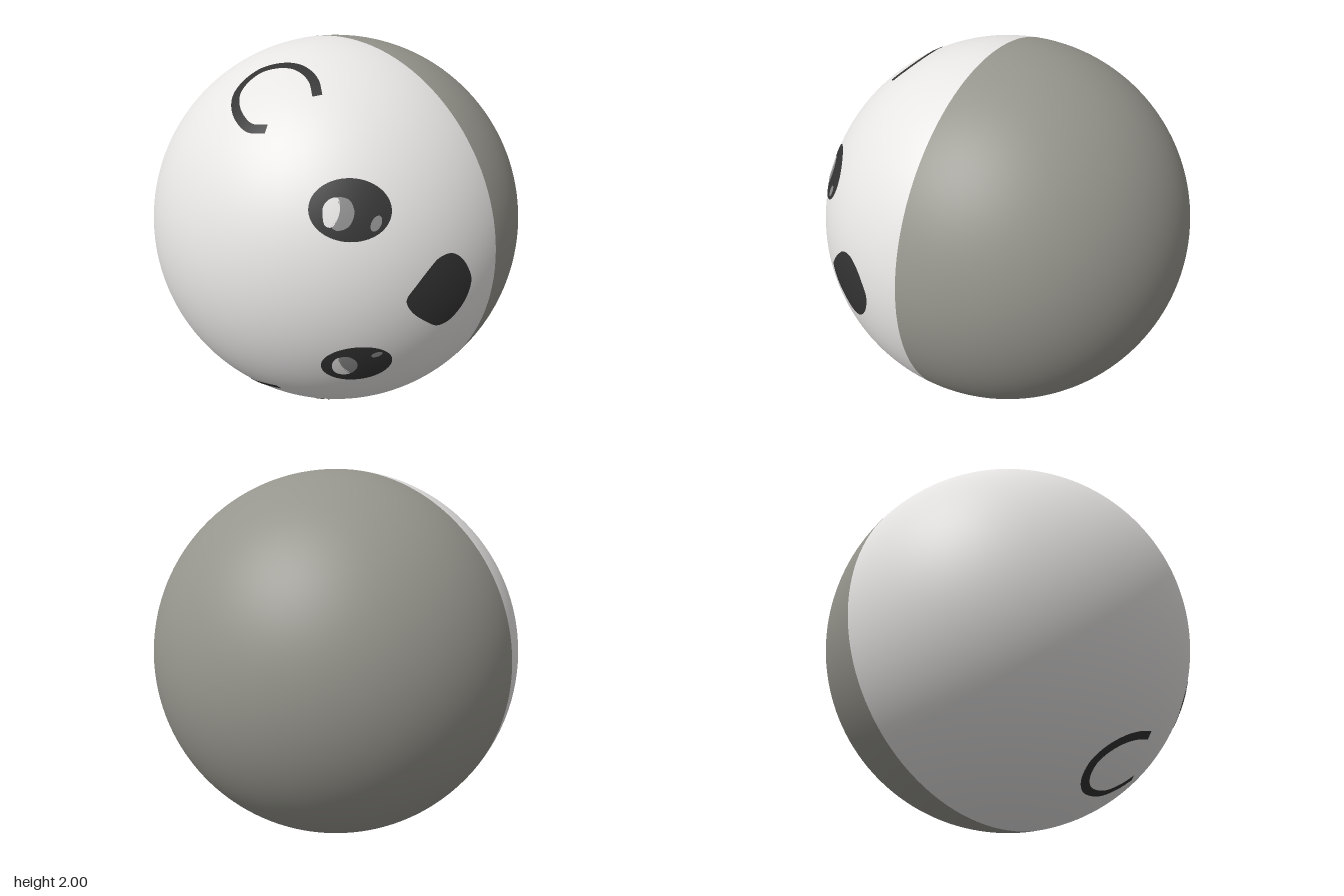
import * as THREE from 'three';

const mat = (name, color) => {
  const m = new THREE.MeshStandardMaterial({ color, side: THREE.DoubleSide });
  m.name = name;
  return m;
};

// Maps flat (a, b) coordinates, seen from a given direction in degrees, onto the unit ball
function facing(azimuth, elevation) {
  const A = THREE.MathUtils.degToRad(azimuth), E = THREE.MathUtils.degToRad(elevation);
  const u = new THREE.Vector3(Math.cos(A), 0, -Math.sin(A));
  const n = new THREE.Vector3(Math.sin(A) * Math.cos(E), Math.sin(E), Math.cos(A) * Math.cos(E));
  const v = n.clone().cross(u);
  return (a, b) => new THREE.Vector3()
    .addScaledVector(u, a).addScaledVector(v, b)
    .addScaledVector(n, Math.sqrt(Math.max(0, 1 - a * a - b * b)));
}

function buildGeometry(points, index) {
  const g = new THREE.BufferGeometry();
  g.setAttribute('position', new THREE.Float32BufferAttribute(points.flatMap(p => p.toArray()), 3));
  // The ball's own normals keep the markings smoothly shaded
  g.setAttribute('normal', new THREE.Float32BufferAttribute(
    points.flatMap(p => p.clone().normalize().toArray()), 3));
  g.setIndex(index);
  return g;
}

// Smooth closed outline through a few points, counter-clockwise
function outline(pts) {
  const curve = new THREE.CatmullRomCurve3(pts.map(([a, b]) => new THREE.Vector3(a, b, 0)), true);
  const out = curve.getPoints(64).slice(0, 64);
  return THREE.ShapeUtils.area(out) < 0 ? out.reverse() : out;
}

function ellipse(cx, cy, rx, ry, tilt = 0) {
  return new THREE.EllipseCurve(cx, cy, rx, ry, 0, Math.PI * 2, false, tilt).getPoints(64).slice(0, 64);
}

// Curved patch filling an outline, made of shrinking rings
function patch(place, loop, radius, rings = 6) {
  const n = loop.length, pts = [], index = [];
  const c = loop.reduce((s, p) => [s[0] + p.x / n, s[1] + p.y / n], [0, 0]);
  for (let r = 0; r <= rings; r++) {
    for (const p of loop) {
      const t = r / rings;
      pts.push(place(c[0] + (p.x - c[0]) * t, c[1] + (p.y - c[1]) * t).multiplyScalar(radius));
    }
  }
  for (let r = 0; r < rings; r++) {
    for (let i = 0; i < n; i++) {
      const j = (i + 1) % n, a = r * n + i, b = r * n + j;
      index.push(a, a + n, b + n);
      if (r > 0) index.push(a, b + n, b);
    }
  }
  return buildGeometry(pts, index);
}

// Constant-width painted line that follows the ball
function stroke(place, path, width, radius) {
  const curve = new THREE.CatmullRomCurve3(path.map(([a, b]) => place(a, b)));
  const steps = 80, pts = [], index = [];
  for (let i = 0; i <= steps; i++) {
    const p = curve.getPoint(i / steps).normalize();
    const side = curve.getTangent(i / steps).cross(p).normalize();
    for (const k of [-1, 0, 1]) {
      pts.push(p.clone().addScaledVector(side, k * width / 2).normalize().multiplyScalar(radius));
    }
    if (i < steps) {
      for (const k of [0, 1]) {
        const a = i * 3 + k;
        index.push(a, a + 1, a + 4, a, a + 4, a + 3);
      }
    }
  }
  return buildGeometry(pts, index);
}

export function createModel() {
  const white = mat('white', 0xefedec);
  const backGrey = mat('warm grey', 0x96958d);
  const dark = mat('charcoal', 0x333333);
  const shine = mat('shine grey', 0x8a8a8a);
  const group = new THREE.Group();
  const add = (name, geometry, material) => {
    const mesh = new THREE.Mesh(geometry, material);
    mesh.name = name;
    mesh.position.y = 1;
    group.add(mesh);
  };

  // Two half shells meeting on a slightly turned upright plane
  const half = dir => new THREE.SphereGeometry(1, 128, 48, 0, Math.PI * 2, 0, Math.PI / 2)
    .rotateX(dir * Math.PI / 2).rotateY(-0.1);
  add('frontHalf', half(1), white);
  add('backHalf', half(-1), backGrey);

  const PAINT = 1.002, TOP = 1.004;

  // Nose
  add('nose', patch(facing(90, 0), outline([
    [-0.605, 0], [-0.57, 0.06], [-0.51, 0.13], [-0.46, 0.17], [-0.4, 0.176], [-0.35, 0.14], [-0.31, 0.075],
    [-0.29, 0.015], [-0.305, -0.06], [-0.34, -0.12], [-0.395, -0.17], [-0.45, -0.176], [-0.51, -0.135],
    [-0.58, -0.065]]), PAINT), dark);

  // Eyes, each with a two-tone large highlight and a small one
  const eyes = [
    {
      name: 'upperEye', at: facing(38.7, 24), shape: ellipse(0, 0, 0.176, 0.134, -0.06),
      bright: [[-0.117, -0.02], [-0.112, 0.02], [-0.085, 0.048], [-0.053, 0.053], [-0.043, 0.02],
        [-0.053, -0.032], [-0.08, -0.07], [-0.107, -0.064]],
      soft: [[-0.053, 0.053], [-0.005, 0.043], [0.016, -0.01], [-0.01, -0.07], [-0.058, -0.085],
        [-0.08, -0.07], [-0.053, -0.032], [-0.043, 0.02]],
      spot: ellipse(0.107, -0.059, 0.021, 0.036, -0.5),
    },
    {
      name: 'lowerEye', at: facing(40.8, -20.5), shape: ellipse(0, 0, 0.165, 0.126),
      bright: [[-0.115, 0], [-0.105, 0.045], [-0.085, 0.06], [-0.07, 0], [-0.03, -0.06], [-0.06, -0.07],
        [-0.1, -0.05]],
      soft: [[-0.085, 0.06], [-0.04, 0.065], [-0.005, 0.03], [0, -0.02], [-0.03, -0.06], [-0.07, 0]],
      spot: ellipse(0.087, 0.068, 0.026, 0.016, 0.3),
    },
  ];
  for (const e of eyes) {
    add(e.name, patch(e.at, e.shape, PAINT), dark);
    add(e.name + 'BrightHighlight', patch(e.at, outline(e.bright), TOP, 3), white);
    add(e.name + 'SoftHighlight', patch(e.at, outline(e.soft), TOP, 3), shine);
    add(e.name + 'SmallHighlight', patch(e.at, e.spot, TOP, 3), shine);
  }

  // Ears drawn as open loops
  add('upperEar', stroke(facing(35, 25), [
    [-0.083, 0.495], [-0.1, 0.572], [-0.14, 0.63], [-0.198, 0.668], [-0.273, 0.679], [-0.353, 0.663],
    [-0.417, 0.615], [-0.46, 0.545], [-0.46, 0.47], [-0.428, 0.4], [-0.38, 0.353], [-0.305, 0.342]],
  0.045, PAINT), dark);
  add('lowerEar', stroke(facing(0, 0), [
    [0.18, -0.626], [0.09, -0.647], [0.008, -0.68], [-0.056, -0.727], [-0.083, -0.78], [-0.056, -0.834],
    [0.008, -0.866], [0.072, -0.872], [0.158, -0.861], [0.243, -0.824], [0.322, -0.768]],
  0.045, PAINT), dark);

  return group;
}
